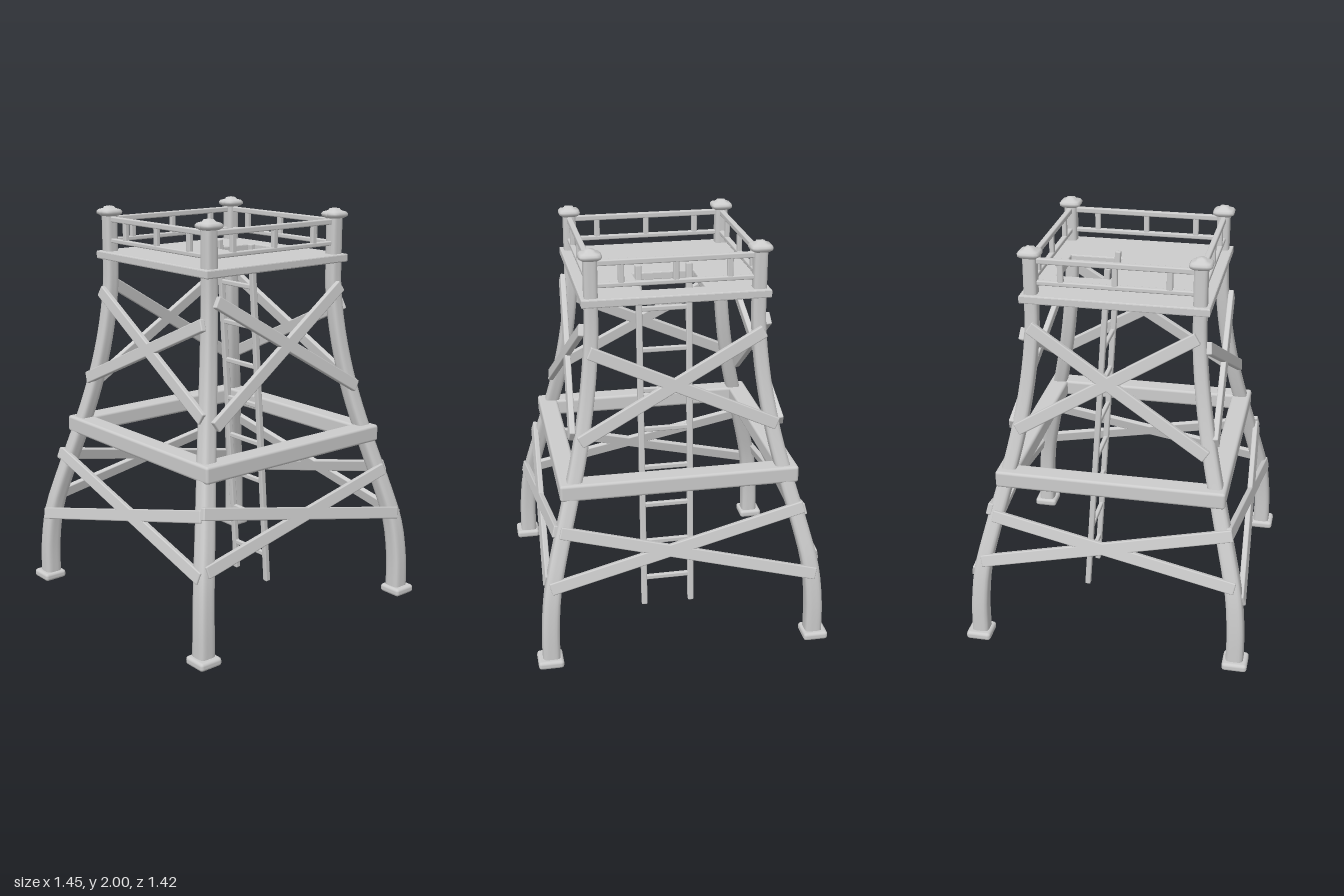
import * as THREE from 'three';
import { RoundedBoxGeometry } from 'three/addons/geometries/RoundedBoxGeometry.js';

const mat = new THREE.MeshStandardMaterial({ color: 0xcccccc });

function add(parent, name, geo, x = 0, y = 0, z = 0) {
  const mesh = new THREE.Mesh(geo, mat);
  mesh.name = name;
  mesh.position.set(x, y, z);
  parent.add(mesh);
  return mesh;
}

const block = (w, h, d, r = 0.006) => new RoundedBoxGeometry(w, h, d, 2, r);

// Bar between two points, its flat face turned towards `out`
function bar(parent, name, a, b, height, depth, out) {
  const dir = b.clone().sub(a);
  const mesh = add(parent, name, block(dir.length(), height, depth));
  dir.normalize();
  const z = out.clone().addScaledVector(dir, -out.dot(dir)).normalize();
  const y = z.clone().cross(dir);
  mesh.quaternion.setFromRotationMatrix(new THREE.Matrix4().makeBasis(dir, y, z));
  mesh.position.copy(a).add(b).multiplyScalar(0.5);
  return mesh;
}

// Bent, tapering leg with a rounded square section
function legGeometry(sx, sz) {
  const axis = [
    [0.66, 0.02, 0.647], [0.657, 0.2, 0.644], [0.637, 0.4, 0.625], [0.59, 0.6, 0.58],
    [0.535, 0.8, 0.53], [0.483, 1.0, 0.482], [0.442, 1.2, 0.442], [0.413, 1.4, 0.413],
    [0.396, 1.6, 0.396], [0.394, 1.78, 0.394], [0.394, 1.97, 0.394],
  ];
  const curve = new THREE.CatmullRomCurve3(axis.map(([x, y, z]) => new THREE.Vector3(x * sx, y, z * sz)));
  const geo = new THREE.CylinderGeometry(1, 1, 1, 24, 30, true);
  const pos = geo.attributes.position;
  for (let i = 0; i < pos.count; i++) {
    const c = pos.getX(i), s = pos.getZ(i), t = pos.getY(i) + 0.5;
    const p = curve.getPoint(t);
    const r = (0.043 - 0.011 * Math.min(1, t * 1.2)) / Math.pow(Math.abs(c) ** 5 + Math.abs(s) ** 5, 0.2);
    pos.setXYZ(i, p.x + c * r, p.y, p.z + s * r);
  }
  geo.computeVertexNormals();
  return geo;
}

// Deck with a ladder hatch
function deckGeometry() {
  const e = 0.437;
  const shape = new THREE.Shape([[-e, -e], [e, -e], [e, e], [-e, e]].map(([x, y]) => new THREE.Vector2(x, y)));
  const [x0, x1, y0, y1] = [-0.156, 0.154, 0.069, 0.342];
  shape.holes.push(new THREE.Path([[x0, y0], [x0, y1], [x1, y1], [x1, y0]].map(([x, y]) => new THREE.Vector2(x, y))));
  const geo = new THREE.ExtrudeGeometry(shape, {
    depth: 0.028, bevelThickness: 0.006, bevelSize: 0.006, bevelSegments: 2,
  });
  return geo.rotateX(-Math.PI / 2);
}

// Cap: square slab with a low domed top
function capGeometry() {
  const geo = new THREE.LatheGeometry([
    [0, 0], [0.038, 0], [0.052, 0.01], [0.053, 0.022], [0.045, 0.031], [0.026, 0.037], [0.02, 0.046], [0, 0.05],
  ].map(([x, y]) => new THREE.Vector2(x, y)), 24);
  const pos = geo.attributes.position;
  for (let i = 0; i < pos.count; i++) {
    const x = pos.getX(i), z = pos.getZ(i), r = Math.hypot(x, z);
    if (r < 1e-6) continue;
    const k = 1 / Math.pow(Math.abs(x / r) ** 5 + Math.abs(z / r) ** 5, 0.2);
    pos.setXYZ(i, x * k, pos.getY(i), z * k);
  }
  geo.computeVertexNormals();
  return geo;
}

export function createModel() {
  const tower = new THREE.Group();
  tower.name = 'watchtower';
  const V = (x, y, z) => new THREE.Vector3(x, y, z);

  // Legs with feet and caps
  const legs = new THREE.Group();
  legs.name = 'legs';
  tower.add(legs);
  for (const sx of [-1, 1]) for (const sz of [-1, 1]) {
    add(legs, 'leg', legGeometry(sx, sz));
    add(legs, 'foot', block(0.124, 0.042, 0.124, 0.016), sx * 0.665, 0.021, sz * 0.65);
    add(legs, 'postCap', capGeometry(), sx * 0.394, 1.95, sz * 0.394);
  }

  // Middle ring of beams
  const ring = new THREE.Group();
  ring.name = 'middleRing';
  tower.add(ring);
  for (const s of [-1, 1]) {
    add(ring, 'ringBeam', block(1.16, 0.085, 0.1, 0.014), 0, 0.867, s * 0.51);
    add(ring, 'ringBeam', block(0.1, 0.084, 1.115, 0.014), s * 0.53, 0.867, 0);
  }

  // Cross braces: [start along, start y, end along, end y, outward offset at refY, refY, slope]
  const braces = new THREE.Group();
  braces.name = 'braces';
  tower.add(braces);
  const frontBraces = [
    [-0.6, 0.708, 0.65, 0.42, 0.592, 0.7, 0.23],
    [-0.655, 0.37, 0.59, 0.687, 0.592, 0.7, 0.23],
    [-0.415, 1.575, 0.473, 1.1, 0.437, 1.6, 0.12],
    [-0.477, 1.12, 0.415, 1.525, 0.437, 1.6, 0.12],
  ];
  const sideBraces = [
    [0.605, 0.705, -0.625, 0.445, 0.603, 0.7, 0.24],
    [0.632, 0.447, -0.572, 0.68, 0.603, 0.7, 0.24],
    [0.39, 1.628, -0.46, 1.115, 0.443, 1.6, 0.13],
    [0.456, 1.065, -0.4, 1.622, 0.443, 1.6, 0.13],
  ];
  for (const s of [-1, 1]) {
    for (const [u0, y0, u1, y1, off, ref, k] of frontBraces) {
      const z = (y) => s * (off + (ref - y) * k);
      bar(braces, 'brace', V(u0, y0, z(y0)), V(u1, y1, z(y1)), 0.06, 0.028, V(0, k, s));
    }
    for (const [u0, y0, u1, y1, off, ref, k] of sideBraces) {
      const x = (y) => s * (off + (ref - y) * k);
      bar(braces, 'brace', V(x(y0), y0, u0), V(x(y1), y1, u1), 0.06, 0.028, V(s, k, 0));
    }
  }

  // Deck
  add(tower, 'deck', deckGeometry(), 0, 1.741, 0);

  // Railing, one side turned four times
  for (let i = 0; i < 4; i++) {
    const side = new THREE.Group();
    side.name = 'railing';
    side.rotation.y = i * Math.PI / 2;
    tower.add(side);
    add(side, 'topRail', block(0.77, 0.027, 0.027), 0, 1.933, 0.395);
    add(side, 'lowerRail', block(0.77, 0.022, 0.027), 0, 1.828, 0.395);
    for (const x of [-0.253, 0, 0.253]) add(side, 'baluster', block(0.028, 0.1, 0.024), x, 1.88, 0.395);
  }

  // Leaning ladder
  const ladder = new THREE.Group();
  ladder.name = 'ladder';
  tower.add(ladder);
  const ladderZ = (y) => -0.217 + 0.069 * y;
  for (const x of [-0.124, 0.124]) {
    bar(ladder, 'ladderRail', V(x, 0, ladderZ(0)), V(x, 1.82, ladderZ(1.82)), 0.03, 0.029, V(0, 0, 1));
  }
  for (let i = 0; i < 8; i++) {
    const y = 0.155 + i * 0.2068;
    add(ladder, 'rung', block(0.23, 0.025, 0.022), 0, y, ladderZ(y));
  }
  return tower;
}
